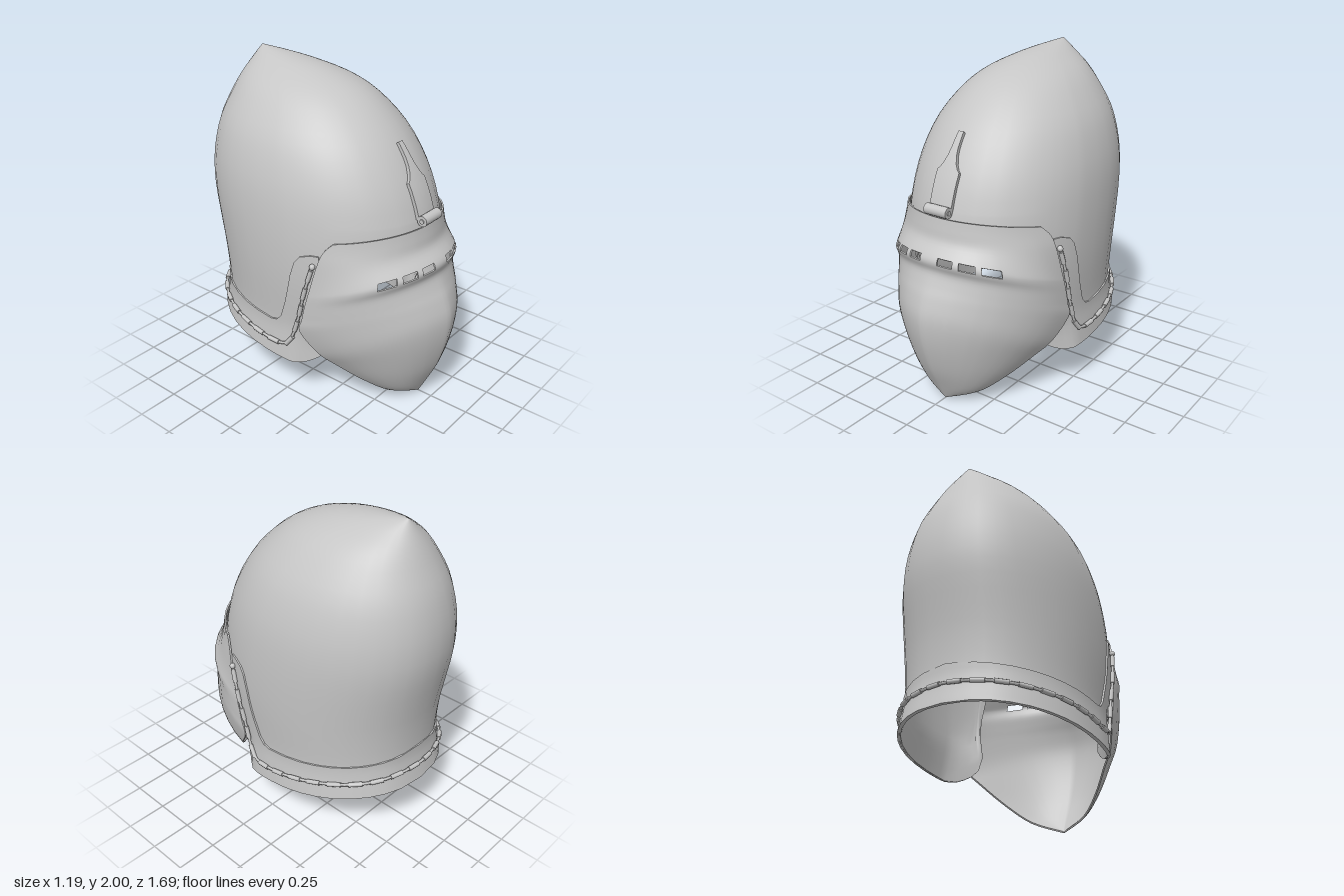
import * as THREE from 'three';
import { mergeGeometries } from 'three/addons/utils/BufferGeometryUtils.js';

const RAD = Math.PI / 180;

// Smooth interpolation through rows of numbers, t counted in rows
function rowAt(rows, t) {
  const last = rows.length - 1;
  const i = Math.min(Math.max(Math.floor(t), 0), last - 1), f = t - i;
  const r = k => rows[Math.min(Math.max(k, 0), last)];
  const [a, b, c, d] = [r(i - 1), r(i), r(i + 1), r(i + 2)];
  return b.map((_, k) => b[k] + 0.5 * f * (c[k] - a[k]
    + f * (2 * a[k] - 5 * b[k] + 4 * c[k] - d[k] + f * (3 * (b[k] - c[k]) + d[k] - a[k]))));
}

// Piecewise linear lookup in [x, y] pairs
function lookup(pairs, x) {
  if (x <= pairs[0][0]) return pairs[0][1];
  for (let i = 1; i < pairs.length; i++) {
    const [x0, y0] = pairs[i - 1], [x1, y1] = pairs[i];
    if (x <= x1) return y0 + (y1 - y0) * (x - x0) / (x1 - x0);
  }
  return pairs[pairs.length - 1][1];
}

// Plate of a given thickness from a grid of points; columns run to +x, rows run down
function shell(cols, rows, point, thick, closed = false, isHole = () => false) {
  const outer = [], index = [], rim = [];
  for (let j = 0; j <= rows; j++) for (const c of cols) outer.push(point(c, j / rows));
  const n = cols.length, cells = closed ? n : n - 1;
  const id = (i, j) => j * n + (i % n);
  const solid = (i, j) => {
    if (closed) i = (i + n) % n;
    return i >= 0 && i < cells && j >= 0 && j < rows && !isHole(i, j);
  };
  const edges = [];
  for (let j = 0; j < rows; j++) for (let i = 0; i < cells; i++) {
    if (!solid(i, j)) continue;
    const a = id(i, j), b = id(i + 1, j), c = id(i + 1, j + 1), d = id(i, j + 1);
    index.push(a, d, c, a, c, b);
    if (!solid(i - 1, j)) edges.push([a, d]);
    if (!solid(i, j + 1)) edges.push([d, c]);
    if (!solid(i + 1, j)) edges.push([c, b]);
    if (!solid(i, j - 1)) edges.push([b, a]);
  }
  const front = new THREE.BufferGeometry().setFromPoints(outer);
  front.setIndex(index);
  front.computeVertexNormals();
  const normals = front.attributes.normal;
  const inner = outer.map((p, i) =>
    p.clone().addScaledVector(new THREE.Vector3().fromBufferAttribute(normals, i), -thick));
  const back = new THREE.BufferGeometry().setFromPoints(inner);
  back.setIndex(index.slice().reverse());
  back.computeVertexNormals();
  for (const [p, q] of edges) {
    if (outer[p].distanceTo(outer[q]) < 1e-5) continue;
    rim.push(outer[p], inner[p], inner[q], outer[p], inner[q], outer[q]);
  }
  const wall = new THREE.BufferGeometry().setFromPoints(rim);
  wall.computeVertexNormals();
  return mergeGeometries([front.toNonIndexed(), back.toNonIndexed(), wall]);
}

// Skull sections from the point down: y, half width, front z, back z
const SKULL = [
  [2, 0, -0.59, -0.59], [1.97, 0.075, -0.32, -0.61], [1.93, 0.155, -0.09, -0.635],
  [1.86, 0.27, 0.12, -0.675], [1.76, 0.37, 0.28, -0.725], [1.6, 0.475, 0.44, -0.795],
  [1.4, 0.54, 0.565, -0.838], [1.2, 0.567, 0.64, -0.84], [1, 0.574, 0.67, -0.805],
  [0.8, 0.57, 0.67, -0.77], [0.6, 0.556, 0.65, -0.755], [0.5, 0.552, 0.64, -0.762],
  [0.4, 0.56, 0.63, -0.78], [0.25, 0.575, 0.62, -0.81]];
// The back is a little fuller than the front
const power = c => (c < 0 ? 0.93 : 0.98);
const bend = (v, p) => Math.sign(v) * Math.abs(v) ** p;

function levelOf(y) {
  let lo = 0, hi = SKULL.length - 1;
  for (let k = 0; k < 30; k++) {
    const mid = (lo + hi) / 2;
    if (rowAt(SKULL, mid)[0] > y) lo = mid; else hi = mid;
  }
  return lo;
}
function skullPoint(deg, level, lift = 0) {
  const [y, w, zf, zb] = rowAt(SKULL, level);
  const s = Math.sin(deg * RAD), c = Math.cos(deg * RAD), p = power(c);
  const z = (zf + zb) / 2 + (zf - zb) / 2 * bend(c, p) + lift * c;
  // the cheek tips turn inward behind the visor
  const tuck = 0.8 * Math.max(0, z - 0.1) * Math.min(1, Math.max(0, (0.6 - y) / 0.2));
  return new THREE.Vector3((w * bend(s, p) + lift * s) * (1 - tuck), y, z);
}
function angleAt(z, y) {
  const [, , zf, zb] = rowAt(SKULL, levelOf(y));
  const c = Math.max(-1, Math.min(1, (z - (zf + zb) / 2) / ((zf - zb) / 2)));
  return Math.acos(bend(c, 1 / power(c))) / RAD;
}

// Lower rim: face opening in front, sloping neck line behind
const FACE = [[0, 1.06], [40, 1.02], [50, 0.95], [55, 0.7], [59, 0.38], [63, 0.32], [68, 0.28], [73, 0.27]];
const lowerRim = deg => {
  const a = Math.abs(deg);
  return a < 73 ? lookup(FACE, a) : 0.27 + (0.292 - Math.cos(a * RAD)) * 0.089;
};

// Visor rows from the top: centre y, centre z, edge x, edge y, edge z, arc angle, keel
const VISOR = [
  [1.165, 0.675, 0.48, 1.12, 0.36, 60, 0], [1.1, 0.685, 0.512, 1.06, 0.31, 66, 0],
  [1.03, 0.7, 0.532, 0.97, 0.28, 76, 0], [0.965, 0.757, 0.548, 0.8, 0.235, 88, 0],
  [0.925, 0.77, 0.553, 0.75, 0.222, 90, 0], [0.87, 0.757, 0.556, 0.68, 0.203, 90, 0.06],
  [0.8, 0.783, 0.557, 0.6, 0.185, 90, 0.12], [0.72, 0.82, 0.554, 0.51, 0.165, 90, 0.18],
  [0.6, 0.85, 0.5, 0.37, 0.26, 90, 0.24], [0.44, 0.835, 0.425, 0.28, 0.335, 90, 0.27],
  [0.255, 0.78, 0.31, 0.16, 0.46, 90, 0.3], [0.1, 0.706, 0.18, 0.06, 0.565, 90, 0.3],
  [0, 0.655, 0, 0, 0.655, 90, 0.3]];
const SUB = 4;
function visorPoint(s, v) {
  const [yc, zc, xe, ye, ze, arc, keel] = rowAt(VISOR, v * (VISOR.length - 1));
  const A = arc * RAD, a = Math.abs(s) * A;
  const round = (Math.cos(a) - Math.cos(A)) / (1 - Math.cos(A));
  const f = round * (1 - keel) + (1 - Math.abs(s)) * keel;
  return new THREE.Vector3(Math.sign(s) * xe * Math.sin(a) / Math.sin(A),
    ye + (yc - ye) * round, ze + (zc - ze) * f);
}

export function createModel() {
  const group = new THREE.Group();
  const steel = new THREE.MeshStandardMaterial({ color: 0xc6c6c6 });
  steel.name = 'steel grey';
  const add = (name, geometry, parent = group) => {
    const mesh = new THREE.Mesh(geometry, steel);
    mesh.name = name;
    parent.add(mesh);
    return mesh;
  };

  // Pointed skull: level rows over the crown, then rows that follow the lower rim
  const half = [10, 20, 30, 37, 43, 47, 50, 52, 54, 56, 58, 60, 63, 66, 70, 75, 80, 90,
    100, 110, 120, 130, 140, 150, 160, 170];
  const around = [...half.map(a => -a).reverse(), 0, ...half, 180];
  add('skull', shell(around, 32, (a, v) => {
    const crown = 7, split = 0.625;
    const level = v < split ? crown * v / split
      : crown + (levelOf(lowerRim(a)) - crown) * (v - split) / (1 - split);
    return skullPoint(a, level);
  }, 0.012, true));

  // Raised border around the neck and cheeks
  const top = [[62, 1.03], [66, 1.03], [71.6, 1.01], [74.5, 0.97], [77.3, 0.88], [81.3, 0.68],
    [84, 0.57], [86.5, 0.53], [90, 0.52], [180, 0.62]];
  const side = [62, 64, 66, 69, 71.6, 74.5, 77.3, 79.5, 81.3, 84, 86.5, 90, 98, 107, 116,
    125, 135, 145, 155, 165];
  const band = [...side, 180, ...side.map(a => 360 - a).reverse()];
  add('neckBorder', shell(band, 10, (a, v) => {
    const f = a > 180 ? 360 - a : a;
    const t0 = levelOf(lookup(top, f)), t1 = levelOf(lowerRim(f));
    return skullPoint(a, t0 + (t1 - t0) * v, 0.009);
  }, 0.012));

  // Cord with staples along the border
  const cord = new THREE.Group();
  cord.name = 'mailCord';
  group.add(cord);
  const left = [[0.25, 0.97], [0.2, 0.79], [0.15, 0.6], [0.095, 0.44], [0.05, 0.395], [-0.03, 0.39],
    [-0.2, 0.41], [-0.4, 0.44], [-0.58, 0.465], [-0.7, 0.485]]
    .map(([z, y]) => skullPoint(angleAt(z, y), levelOf(y), 0.02));
  const right = left.map(p => new THREE.Vector3(-p.x, p.y, p.z)).reverse();
  const path = new THREE.CatmullRomCurve3([...left, skullPoint(180, levelOf(0.5), 0.02), ...right]);
  add('cord', new THREE.TubeGeometry(path, 140, 0.009, 6), cord);
  const stapleShape = new THREE.CylinderGeometry(0.014, 0.014, 0.08, 8);
  const STAPLES = 28;
  for (let i = 0; i < STAPLES; i++) {
    const u = (i + 0.5) / STAPLES;
    const staple = add('staple', stapleShape, cord);
    staple.position.copy(path.getPointAt(u));
    staple.quaternion.setFromUnitVectors(new THREE.Vector3(0, 1, 0), path.getTangentAt(u));
  }
  for (const end of [left[0], right[right.length - 1]]) {
    add('cordEnd', new THREE.SphereGeometry(0.018, 12, 8), cord).position.copy(end);
  }

  // Visor with six open eye slits in the brow
  const s = [0.035, 0.071, 0.125, 0.179, 0.222, 0.278, 0.333, 0.375, 0.44, 0.505, 0.6, 0.7, 0.8, 0.9, 1];
  const across = [...s.map(v => -v).reverse(), 0, ...s];
  const slits = [[0.071, 0.179], [0.222, 0.333], [0.375, 0.505]];
  add('visor', shell(across, (VISOR.length - 1) * SUB, visorPoint, 0.01, false, (i, j) => {
    const mid = Math.abs(across[i] + across[i + 1]) / 2;
    return Math.floor(j / SUB) === 3 && slits.some(([a, b]) => mid > a && mid < b);
  }));

  // Hinge strap lying on the brow of the skull
  const strapWidth = [[0, 0.018], [0.2, 0.023], [0.3, 0.03], [0.4, 0.045], [0.46, 0.06],
    [0.5, 0.077], [1, 0.077]];
  add('hingeStrap', shell([-1, -0.5, 0, 0.5, 1], 50, (c, v) => {
    const y = 1.61 - 0.4 * v, x = c * lookup(strapWidth, v);
    const [, w, zf, zb] = rowAt(SKULL, levelOf(y));
    const z = (zf + zb) / 2 + (zf - zb) / 2 * Math.sqrt(1 - (x / w) ** 2);
    return new THREE.Vector3(x, y, z + 0.022);
  }, 0.024));

  // Hinge barrel and its pin
  for (const [name, r, length] of [['hingeBarrel', 0.032, 0.156], ['hingePin', 0.014, 0.168]]) {
    const part = add(name, new THREE.CylinderGeometry(r, r, length, 16));
    part.rotation.z = Math.PI / 2;
    part.position.set(0, 1.205, 0.672);
  }
  return group;
}
